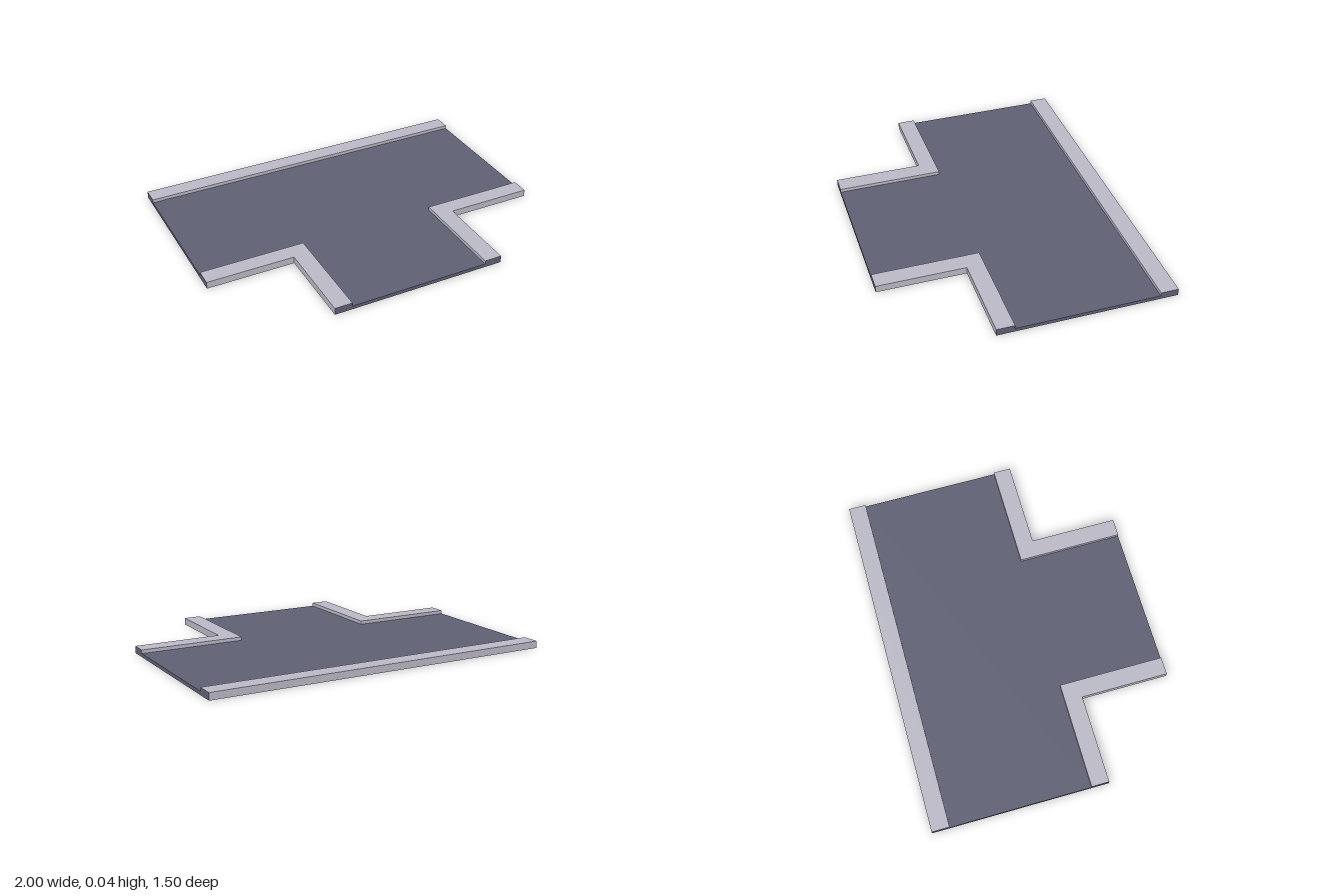
import * as THREE from 'three';

const asphalt = new THREE.MeshStandardMaterial({ name: 'asphalt', color: 0x5e6073 });
const kerbStone = new THREE.MeshStandardMaterial({ name: 'kerbStone', color: 0xb9b8c5 });
const materials = [asphalt, kerbStone];

// Block standing on the ground. faces lists +x -x +y -y +z -z:
// a = asphalt, k = kerb stone, - = left out (hidden joint)
function block(name, x0, x1, z0, z1, height, faces) {
  const geometry = new THREE.BoxGeometry(x1 - x0, height, z1 - z0);
  geometry.translate((x0 + x1) / 2, height / 2, (z0 + z1) / 2);
  const source = Array.from(geometry.index.array);
  const index = [];
  geometry.clearGroups();
  [...faces].forEach((face, i) => {
    if (face === '-') return;
    geometry.addGroup(index.length, 6, face === 'a' ? 0 : 1);
    index.push(...source.slice(i * 6, i * 6 + 6));
  });
  geometry.setIndex(index);
  const mesh = new THREE.Mesh(geometry, materials);
  mesh.name = name;
  return mesh;
}

export function createModel() {
  const model = new THREE.Group();
  model.name = 'roadJunction';
  const road = 0.02, kerb = 0.04;

  // Road surface: through road and side road, with cut ends
  model.add(block('throughRoad', -1, 1, -0.65, 0.15, road, 'aaak--'));
  model.add(block('sideRoad', -0.4, 0.4, 0.15, 0.75, road, '--aka-'));

  // Straight kerb along the back
  model.add(block('backKerb', -1, 1, -0.75, -0.65, kerb, 'aakkkk'));

  // L-shaped kerbs around the two front corners
  const left = new THREE.Group();
  left.name = 'leftCornerKerb';
  left.add(block('throughRoadKerb', 0.5, 1, 0.15, 0.25, kerb, 'a-kkkk'));
  left.add(block('cornerKerb', 0.4, 0.5, 0.15, 0.25, kerb, '-kkk-k'));
  left.add(block('sideRoadKerb', 0.4, 0.5, 0.25, 0.75, kerb, 'kkkka-'));
  const right = new THREE.Group();
  right.name = 'rightCornerKerb';
  right.add(block('throughRoadKerb', -1, -0.5, 0.15, 0.25, kerb, '-akkkk'));
  right.add(block('cornerKerb', -0.5, -0.4, 0.15, 0.25, kerb, 'k-kk-k'));
  right.add(block('sideRoadKerb', -0.5, -0.4, 0.25, 0.75, kerb, 'kkkka-'));
  model.add(left, right);

  return model;
}
